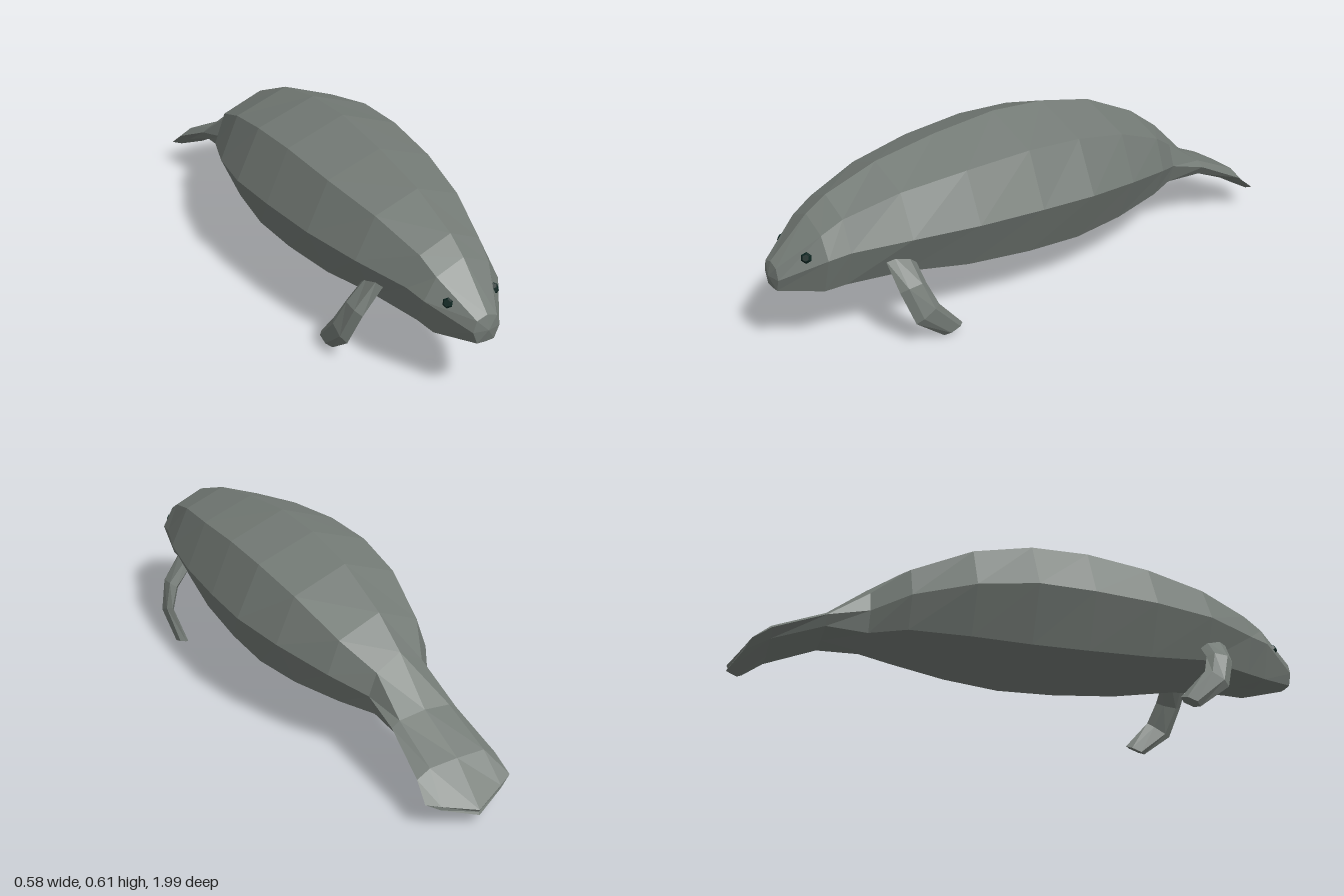
import * as THREE from 'three';

const skin = new THREE.MeshStandardMaterial({ color: 0x737a75, flatShading: true });
skin.name = 'greySkin';
const eyeDark = new THREE.MeshStandardMaterial({ color: 0x0c2420, flatShading: true });
eyeDark.name = 'darkEye';

// Skins a list of rings (equal point counts) and closes both ends with fans.
function loft(rings, startTip, endTip) {
  const n = rings[0].length, pos = [];
  const tri = (...pts) => pts.forEach(p => pos.push(p[0], p[1], p[2]));
  for (let i = 0; i < rings.length - 1; i++) {
    for (let j = 0; j < n; j++) {
      const k = (j + 1) % n;
      const a = rings[i][j], b = rings[i][k], c = rings[i + 1][j], d = rings[i + 1][k];
      tri(a, b, c);
      tri(b, d, c);
    }
  }
  const first = rings[0], last = rings[rings.length - 1];
  for (let j = 0; j < n; j++) {
    const k = (j + 1) % n;
    tri(startTip, first[k], first[j]);
    tri(endTip, last[j], last[k]);
  }
  const g = new THREE.BufferGeometry();
  g.setAttribute('position', new THREE.Float32BufferAttribute(pos, 3));
  g.computeVertexNormals();
  return g;
}

// Eight-sided body section; sweep pulls the outer points forward.
function bodyRing([z, top, ux, uy, mx, my, lx, ly, bottom, sweep = 0]) {
  const half = [[ux, uy], [mx, my], [lx, ly]];
  const p = (x, y) => [x, y, z + sweep * Math.abs(x)];
  return [
    p(0, top), ...half.map(([x, y]) => p(x, y)),
    p(0, bottom), ...half.reverse().map(([x, y]) => p(-x, y)),
  ];
}

// z, top y, upper x/y, middle x/y, lower x/y, bottom y, sweep
const bodySections = [
  [0.98, 0.312, 0.035, 0.300, 0.046, 0.263, 0.030, 0.222, 0.220],
  [0.85, 0.435, 0.092, 0.395, 0.132, 0.325, 0.093, 0.205, 0.203],
  [0.78, 0.480, 0.105, 0.435, 0.147, 0.337, 0.105, 0.212, 0.200],
  [0.60, 0.545, 0.148, 0.490, 0.215, 0.355, 0.152, 0.220, 0.180],
  [0.38, 0.585, 0.185, 0.520, 0.260, 0.357, 0.185, 0.190, 0.125],
  [0.15, 0.610, 0.203, 0.536, 0.283, 0.356, 0.203, 0.174, 0.103],
  [-0.05, 0.600, 0.207, 0.528, 0.291, 0.352, 0.207, 0.168, 0.095],
  [-0.25, 0.560, 0.190, 0.490, 0.258, 0.335, 0.188, 0.178, 0.110],
  [-0.45, 0.470, 0.147, 0.410, 0.188, 0.300, 0.145, 0.193, 0.145],
  [-0.57, 0.385, 0.085, 0.335, 0.112, 0.260, 0.088, 0.190, 0.160],
];
const tailSections = [
  bodySections[bodySections.length - 1],
  [-0.71, 0.250, 0.093, 0.240, 0.121, 0.222, 0.100, 0.190, 0.183],
  [-0.88, 0.170, 0.100, 0.167, 0.145, 0.142, 0.105, 0.120, 0.105],
  [-1.00, 0.055, 0.110, 0.080, 0.157, 0.093, 0.110, 0.068, 0.037, 0.38],
];

// Flipper: centre x, half thickness x/y, front z/y, back z/y
const flipperSections = [
  [0.158, 0.008, 0.014, 0.67, 0.283, 0.57, 0.270],
  [0.222, 0.016, 0.012, 0.66, 0.192, 0.565, 0.200],
  [0.254, 0.014, 0.006, 0.625, 0.085, 0.54, 0.130],
  [0.246, 0.016, 0.004, 0.52, 0.004, 0.45, 0.028],
];
function flipperGeometry(side) {
  const rings = flipperSections.map(([x, tx, ty, fz, fy, bz, by]) => {
    const at = (t, s) => [
      side * (x + s * tx),
      by + (fy - by) * t + s * ty,
      bz + (fz - bz) * t,
    ];
    const ring = [at(0, 0), at(0.25, 1), at(0.75, 1), at(1, 0), at(0.75, -1), at(0.25, -1)];
    return side > 0 ? ring : ring.reverse();
  });
  const mid = r => [0, 1, 2].map(i => (r[0][i] + r[3][i]) / 2);
  const mean = r => [0, 1, 2].map(i => r.reduce((s, p) => s + p[i], 0) / r.length);
  return loft(rings, mean(rings[0]), mean(rings[rings.length - 1]) || mid(rings[0]));
}

export function createModel() {
  const model = new THREE.Group();
  model.name = 'seaCow';
  const add = (name, geometry, material) => {
    const mesh = new THREE.Mesh(geometry, material);
    mesh.name = name;
    model.add(mesh);
    return mesh;
  };

  // Trunk with head, and flattened tail paddle
  add('body', loft(bodySections.map(bodyRing), [0, 0.265, 0.992], [0, 0.27, -0.57]), skin);
  add('tail', loft(tailSections.map(bodyRing), [0, 0.27, -0.57], [0, 0.046, -0.995]), skin);

  for (const side of [1, -1]) {
    const label = side > 0 ? 'left' : 'right';
    add(label + 'Flipper', flipperGeometry(side), skin);

    // Thin faceted eye lying on the cheek
    const disc = new THREE.CylinderGeometry(0.011, 0.018, 0.009, 6).rotateX(Math.PI / 2);
    const eye = add(label + 'Eye', disc, eyeDark);
    eye.position.set(side * 0.086, 0.334, 0.902);
    eye.lookAt(side * (0.086 + 0.70), 0.334 + 0.40, 0.902 + 0.59);
  }
  return model;
}
